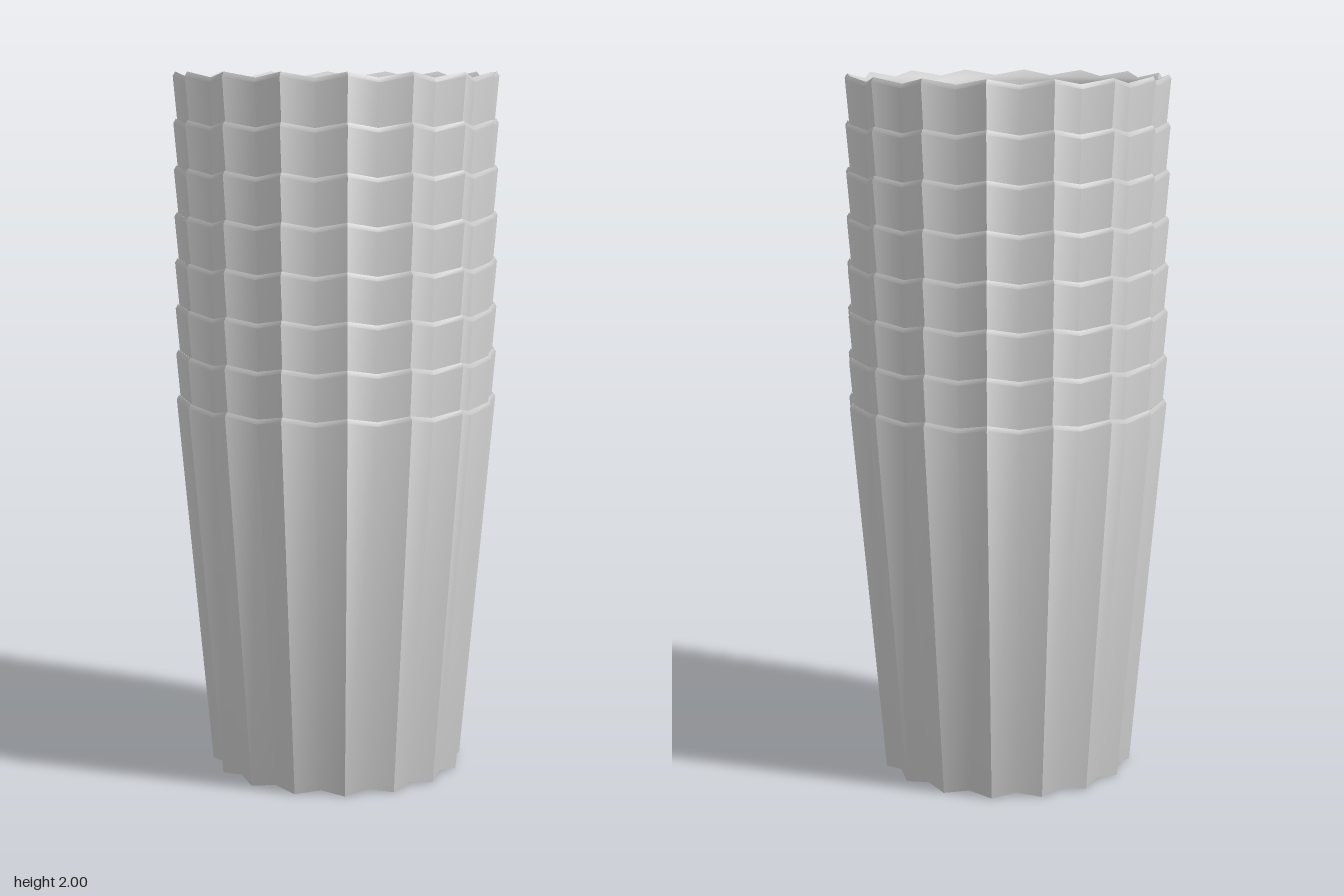
import * as THREE from 'three';
import { toCreasedNormals } from 'three/addons/utils/BufferGeometryUtils.js';

const SIDES = 32;        // 16 pointed flutes: even corners are ridges, odd ones valleys
const VALLEY = 0.941;    // valley radius relative to ridge radius
const HEIGHT = 1.085;    // one cup
const COUNT = 8;

// Joins rings of 32 corners, ordered from the underside, up the outside, down the inside.
// Each ring is { r, fluted, y(radius) }.
function skinRings(rings) {
  const positions = [];
  const index = [];
  for (const { r, fluted, y } of rings) {
    for (let i = 0; i < SIDES; i++) {
      const a = (i / SIDES) * Math.PI * 2;
      const radius = fluted && i % 2 ? r * VALLEY : r;
      positions.push(Math.sin(a) * radius, y(radius), Math.cos(a) * radius);
    }
  }
  for (let k = 0; k < rings.length - 1; k++) {
    for (let i = 0; i < SIDES; i++) {
      const j = (i + 1) % SIDES;
      const a = k * SIDES + i, b = k * SIDES + j;
      const c = a + SIDES, d = b + SIDES;
      if (rings[k].r > 0) index.push(a, b, d);
      if (rings[k + 1].r > 0) index.push(a, d, c);
      else index.push(a, b, c);
    }
  }
  const geometry = new THREE.BufferGeometry();
  geometry.setAttribute('position', new THREE.Float32BufferAttribute(positions, 3));
  // Drop the zero-area triangles at the two centres
  const clean = [];
  for (let t = 0; t < index.length; t += 3) {
    const p = index.slice(t, t + 3);
    const atCentre = p.filter((v) => rings[Math.floor(v / SIDES)].r === 0).length;
    if (atCentre < 2) clean.push(...p);
  }
  // The two triangle rules overlap where a ring meets the centre; keep one of each
  const seen = new Set();
  geometry.setIndex(clean.reduce((out, _, t) => {
    if (t % 3) return out;
    const p = clean.slice(t, t + 3);
    const key = p.map((v) => {
      const ring = Math.floor(v / SIDES);
      return rings[ring].r === 0 ? `c${ring}` : v;
    }).sort().join();
    if (!seen.has(key)) { seen.add(key); out.push(...p); }
    return out;
  }, []));
  return toCreasedNormals(geometry, 0.6);
}

function cupGeometry() {
  const underside = (r) => 0.09 * (1 - (r / 0.365) ** 2);
  const floor = (r) => 0.05 + 0.07 * (1 - (r / 0.315) ** 2);
  const outerEdge = (r) => HEIGHT - 0.012 - 0.58 * (0.46 - r);
  const rim = (r) => HEIGHT - 0.58 * (0.453 - r);
  const ring = (r, y, fluted = false) => ({ r, y, fluted });
  return skinRings([
    // hollow underside
    ...[0, 0.1, 0.2, 0.29].map((r) => ring(r, underside)),
    ring(0.365, underside, true),
    // fluted wall and bevelled rim sloping inwards
    ring(0.46, outerEdge, true),
    ring(0.453, rim, true),
    ring(0.422, rim),
    ring(0.412, () => HEIGHT - 0.032),
    // round inner wall and domed floor
    ...[0.315, 0.22, 0.11, 0].map((r) => ring(r, floor)),
  ]);
}

export function createModel() {
  const group = new THREE.Group();
  group.name = 'cupStack';
  const geometry = cupGeometry();
  const material = new THREE.MeshStandardMaterial({ color: 0xcccccc });
  const step = (2 - HEIGHT) / (COUNT - 1);
  for (let i = 0; i < COUNT; i++) {
    const cup = new THREE.Mesh(geometry, material);
    cup.name = `cup${i + 1}`;
    cup.position.y = i * step;
    group.add(cup);
  }
  return group;
}
